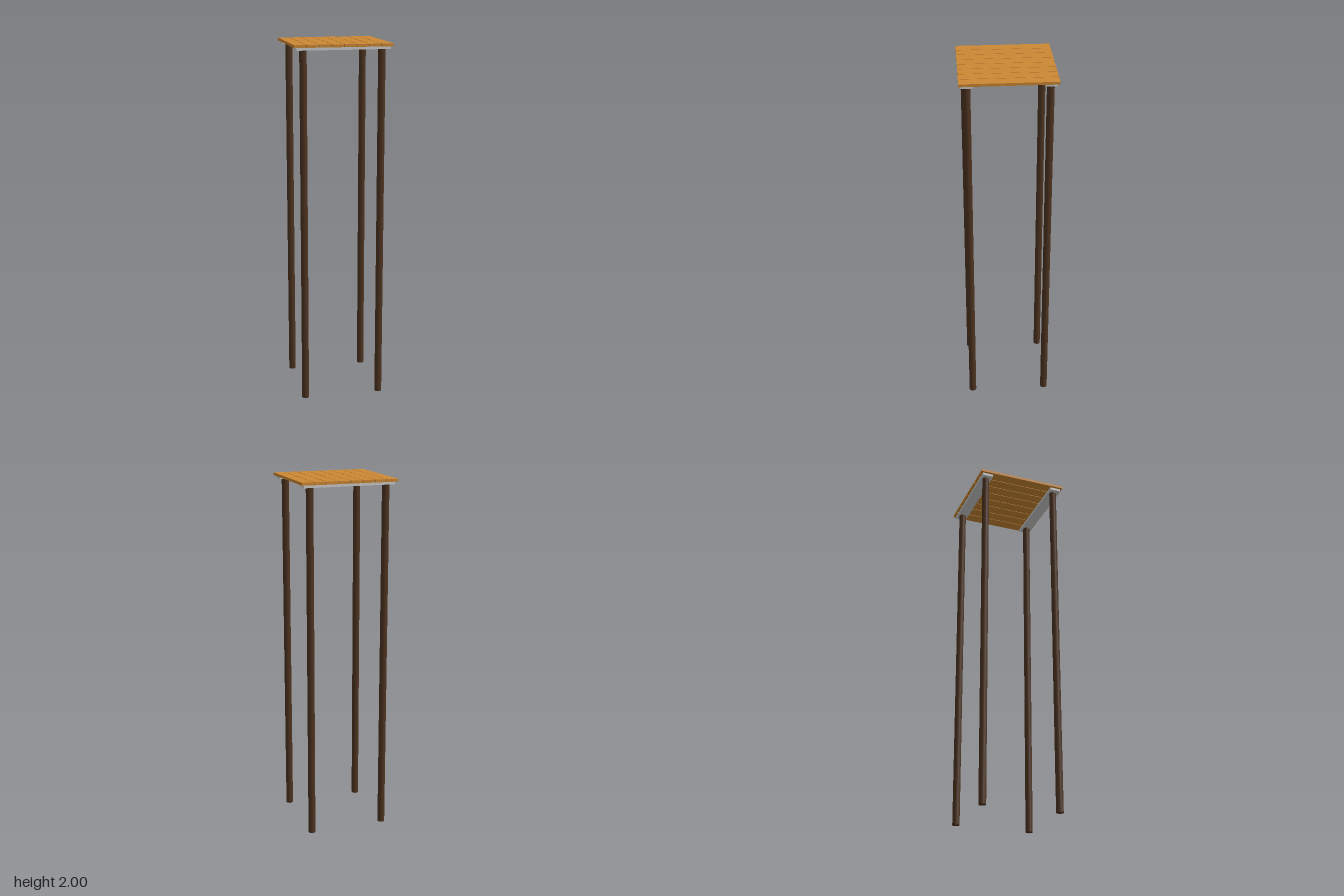
import * as THREE from 'three';

const PLANKS = 8, PITCH = 0.0675, PLANK_W = 0.064;
const THICK = 0.015, LEG_H = 2 - 2 * THICK;

export function createModel() {
  const model = new THREE.Group();
  model.name = 'tallSlattedTable';

  const plankMat = new THREE.MeshStandardMaterial({ color: 0xcc8833 });
  const railMat = new THREE.MeshStandardMaterial({ color: 0xcccccc });
  const legMat = new THREE.MeshStandardMaterial({ color: 0x4d3320 });

  const add = (name, geometry, material, x, y, z) => {
    const mesh = new THREE.Mesh(geometry, material);
    mesh.name = name;
    mesh.position.set(x, y, z);
    model.add(mesh);
  };

  // Top planks, running front to back with narrow gaps
  const plank = new THREE.BoxGeometry(PLANK_W, THICK, 0.512);
  for (let i = 0; i < PLANKS; i++) {
    add(`plank${i + 1}`, plank, plankMat, (i - (PLANKS - 1) / 2) * PITCH, 2 - THICK / 2, 0);
  }

  // Cross rails under the planks, each carried by two round legs
  const rail = new THREE.BoxGeometry(0.51, THICK, 0.063);
  const leg = new THREE.CylinderGeometry(0.02, 0.02, LEG_H, 16);
  for (const [end, sz] of [['front', 1], ['back', -1]]) {
    add(`${end}Rail`, rail, railMat, 0, LEG_H + THICK / 2, sz * 0.214);
    for (const [side, sx] of [['Left', 1], ['Right', -1]]) {
      add(`${end}${side}Leg`, leg, legMat, sx * 0.214, LEG_H / 2, sz * 0.214);
    }
  }
  return model;
}
